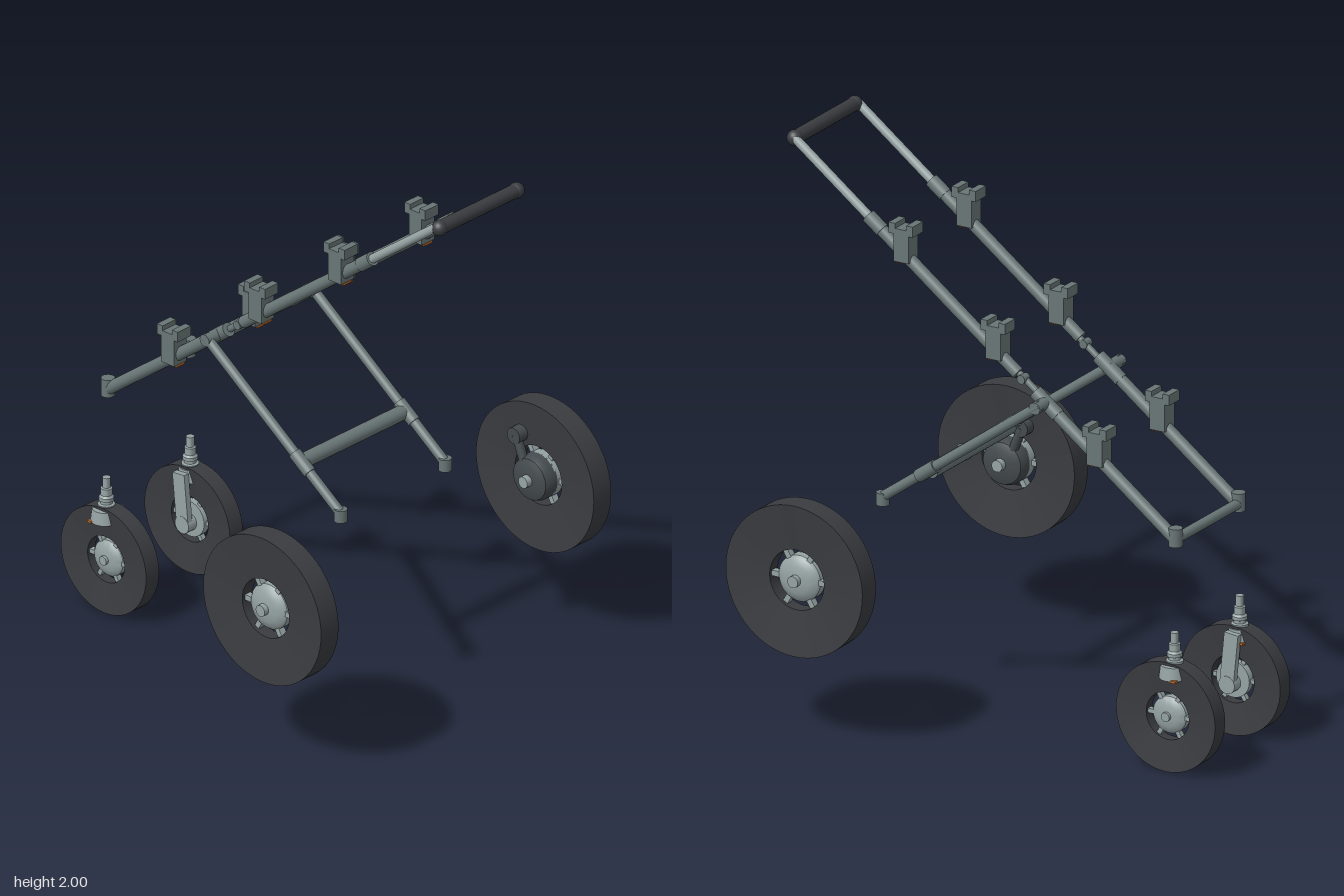
import * as THREE from 'three';
import { toCreasedNormals } from 'three/addons/utils/BufferGeometryUtils.js';

const mat = (name, color) => Object.assign(new THREE.MeshStandardMaterial({ color }), { name });

export function createModel() {
  const frameMat = mat('frame grey', 0x697676);
  const alloyMat = mat('light alloy', 0x96a3a3);
  const rubberMat = mat('rubber', 0x3a3c40);
  const drumMat = mat('dark drum', 0x444a4e);
  const accentMat = mat('orange accent', 0xb8692e);

  const model = new THREE.Group();
  model.name = 'foldingCart';

  const add = (parent, name, geo, material, x = 0, y = 0, z = 0) => {
    const m = new THREE.Mesh(geo, material);
    m.name = name;
    m.position.set(x, y, z);
    parent.add(m);
    return m;
  };
  // Round bar between two points
  const bar = (parent, name, a, b, r, material) => {
    const p = new THREE.Vector3(...a), q = new THREE.Vector3(...b);
    const d = q.clone().sub(p);
    const m = add(parent, name, new THREE.CylinderGeometry(r, r, d.length(), 20), material);
    m.position.copy(p).add(q).multiplyScalar(0.5);
    m.quaternion.setFromUnitVectors(new THREE.Vector3(0, 1, 0), d.normalize());
    return m;
  };
  const lathe = (pts, seg = 48) => toCreasedNormals(
    new THREE.LatheGeometry(pts.map(p => new THREE.Vector2(...p)), seg), 0.6);

  // Points on the sloping rail and on the leg
  const rail = (x, z) => [x, 0.83 + (x + 0.69) * 0.754, z];
  const leg = (x, z) => [x, 1.225 - (x + 0.175) * 0.725, z];

  // Dished tyre, domed hub and spokes; local +y points away from the cart
  function wheel(name, R, hole, half, hubR, tip) {
    const g = new THREE.Group();
    g.name = name;
    const dish = half * 0.6;
    add(g, 'tyre', lathe([[hole, -dish], [R, -half], [R, half], [hole, dish], [hole, -dish]], 64), rubberMat);
    add(g, 'hub', lathe([[0, -dish], [hubR, -dish], [hubR, dish * 0.3], [hubR * 0.9, dish * 0.7],
      [hubR * 0.6, dish * 1.1], [hubR * 0.25, dish * 1.3], [0, dish * 1.3]], 40), alloyMat);
    add(g, 'axleCap', new THREE.CylinderGeometry(hubR * 0.25, hubR * 0.25, tip, 20), alloyMat, 0, tip / 2, 0);
    for (let i = 0; i < 6; i++) {
      const a = i * Math.PI / 3, r = (hubR + hole) / 2;
      const s = add(g, 'spoke', new THREE.BoxGeometry(hole - hubR + 0.03, dish, hubR * 0.24), alloyMat,
        r * Math.cos(a), 0, -r * Math.sin(a));
      s.rotation.y = a;
    }
    return g;
  }

  for (const s of [1, -1]) {
    const side = new THREE.Group();
    side.name = s > 0 ? 'frontSide' : 'backSide';
    model.add(side);
    const z = 0.2 * s, lz = 0.258 * s;

    // Sloping rail: lower tube, hinge, upper tube and sliding handle tube
    bar(side, 'lowerRail', rail(-0.69, z), rail(-0.13, z), 0.022, frameMat);
    bar(side, 'pivotSleeve', rail(-0.22, z), rail(-0.13, z), 0.025, frameMat);
    bar(side, 'hingeLink', rail(-0.14, 0.193 * s), rail(-0.04, 0.193 * s), 0.012, frameMat);
    bar(side, 'hingePin', rail(-0.08, 0.18 * s), rail(-0.08, 0.215 * s), 0.016, frameMat);
    bar(side, 'upperRail', rail(-0.06, z), rail(0.53, z), 0.022, frameMat);
    bar(side, 'railCollar', rail(0.48, z), rail(0.535, z), 0.025, frameMat);
    bar(side, 'handleTube', rail(0.53, z), rail(0.83, z), 0.016, alloyMat);
    add(side, 'handleEnd', new THREE.SphereGeometry(0.028, 20, 14), rubberMat, 0.835, 1.972, 0.19 * s);
    add(side, 'frontCorner', new THREE.CylinderGeometry(0.024, 0.024, 0.065, 20), frameMat, -0.688, 0.842, z);

    // Cup brackets on the rail
    for (const x of [-0.383, 0.02, 0.387]) {
      const b = new THREE.Group();
      b.name = 'bracket';
      b.position.set(x, rail(x, z)[1] - 0.018, z);
      side.add(b);
      add(b, 'bracketStem', new THREE.BoxGeometry(0.06, 0.11, 0.062), frameMat, 0, 0.055, 0);
      add(b, 'bracketHead', new THREE.BoxGeometry(0.096, 0.02, 0.066), frameMat, 0, 0.11, 0);
      for (const e of [-1, 1]) {
        add(b, 'bracketLip', new THREE.BoxGeometry(0.026, 0.02, 0.066), frameMat, e * 0.035, 0.128, 0);
      }
      add(b, 'bracketPad', new THREE.BoxGeometry(0.03, 0.008, 0.04), accentMat, 0.017, -0.003, 0);
    }

    // Folding leg
    bar(side, 'legPivot', leg(-0.172, 0.19 * s), leg(-0.172, 0.275 * s), 0.022, frameMat);
    bar(side, 'leg', leg(-0.185, lz), leg(0.45, lz), 0.018, frameMat);
    bar(side, 'legSleeve', leg(0.23, lz), leg(0.3, lz), 0.023, frameMat);
    add(side, 'legFoot', new THREE.CylinderGeometry(0.023, 0.023, 0.045, 20), frameMat, 0.442, 0.772, lz);

    // Large rear wheel with brake drum on its inner side
    const big = wheel('rearWheel', 0.272, 0.108, 0.043, 0.083, 0.053);
    big.position.set(0.508, 0.605, 0.674 * s);
    big.rotation.x = s * Math.PI / 2;
    side.add(big);
    add(big, 'brakeDrum', lathe([[0, -0.08], [0.05, -0.08], [0.075, -0.07], [0.083, -0.05],
      [0.083, -0.02], [0, -0.02]], 40), drumMat);
    add(big, 'axleStub', new THREE.CylinderGeometry(0.021, 0.021, 0.03, 20), alloyMat, 0, -0.088, 0);
    bar(side, 'brakeArm', [0.47, 0.66, 0.617 * s], [0.435, 0.745, 0.617 * s], 0.017, drumMat);
    bar(side, 'brakeKnob', [0.435, 0.745, 0.602 * s], [0.435, 0.745, 0.642 * s], 0.03, drumMat);

    // Swivelling front wheel on a one-sided fork
    const caster = new THREE.Group();
    caster.name = 'caster';
    side.add(caster);
    const small = wheel('casterWheel', 0.197, 0.085, 0.032, 0.066, 0.036);
    small.position.set(-0.672, 0.2, 0.207 * s);
    small.rotation.x = s * Math.PI / 2;
    caster.add(small);
    add(caster, 'swivelCap', new THREE.CylinderGeometry(0.044, 0.05, 0.046, 28), alloyMat, -0.688, 0.363, 0.214 * s);
    add(caster, 'swivelPad', new THREE.BoxGeometry(0.02, 0.008, 0.1), accentMat, -0.715, 0.341, 0.214 * s);
    add(caster, 'stem', lathe([[0, 0], [0.03, 0], [0.03, 0.015], [0.021, 0.018], [0.021, 0.028], [0.026, 0.03],
      [0.026, 0.042], [0.02, 0.05], [0.02, 0.075], [0.014, 0.078], [0.014, 0.115], [0, 0.115]], 24),
    alloyMat, -0.688, 0.385, 0.207 * s);
    const arm = add(caster, 'forkArm', new THREE.BoxGeometry(0.055, 0.19, 0.022), alloyMat, -0.68, 0.283, 0.16 * s);
    arm.rotation.z = 0.1;
    bar(caster, 'forkEnd', [-0.672, 0.19, 0.148 * s], [-0.672, 0.19, 0.19 * s], 0.032, alloyMat);
  }

  // Cross members
  bar(model, 'frontCrossbar', [-0.69, 0.835, -0.2], [-0.69, 0.835, 0.2], 0.018, frameMat);
  bar(model, 'legCrossbar', [0.255, 0.905, -0.25], [0.255, 0.905, 0.25], 0.027, frameMat);
  bar(model, 'handleGrip', [0.835, 1.972, -0.2], [0.835, 1.972, 0.2], 0.025, rubberMat);

  return model;
}
